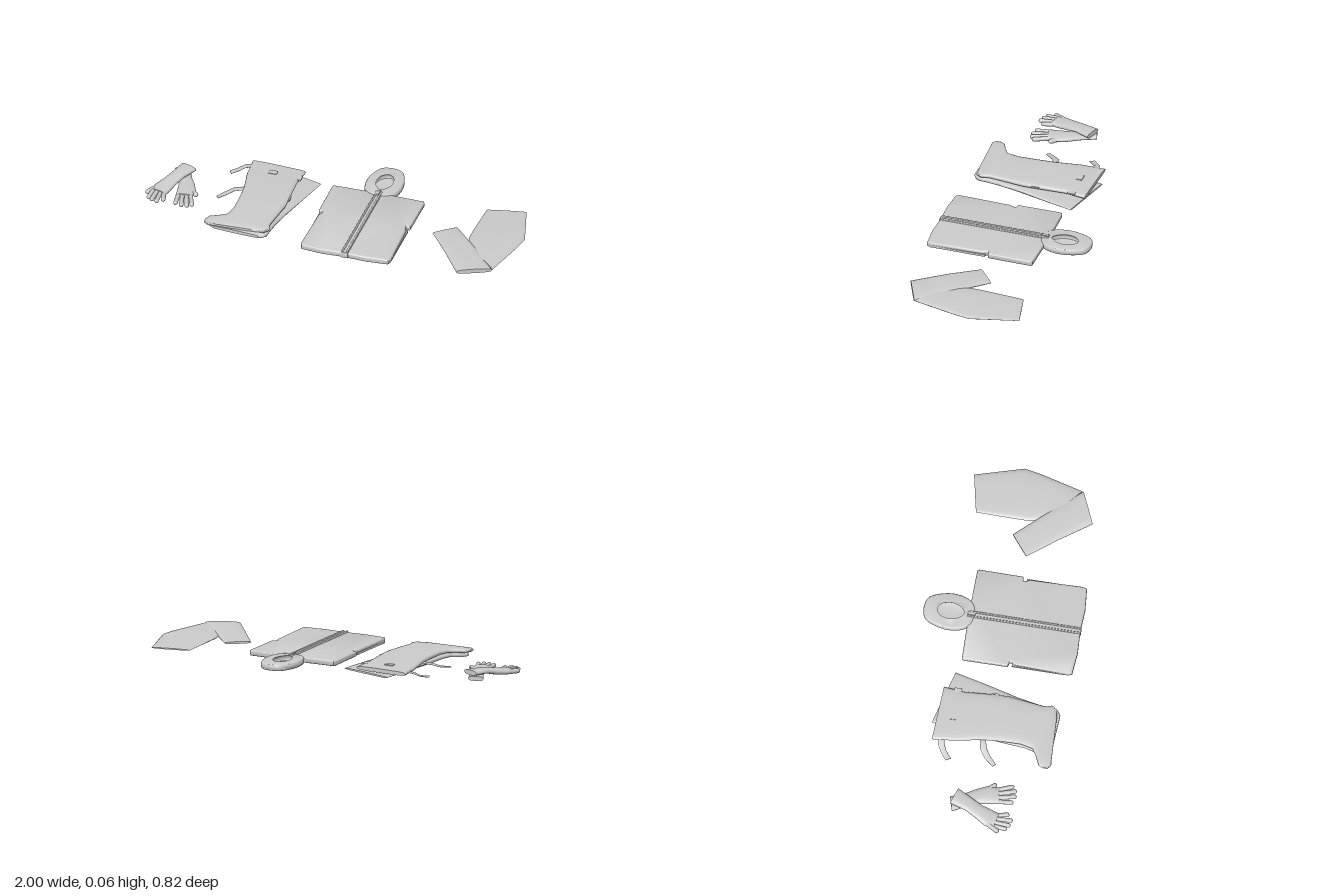
import * as THREE from 'three';
import { toCreasedNormals } from 'three/addons/utils/BufferGeometryUtils.js';

const material = new THREE.MeshStandardMaterial({ color: 0xcccccc, side: THREE.DoubleSide });

function add(parent, name, geometry) {
  const mesh = new THREE.Mesh(geometry, material);
  mesh.name = name;
  parent.add(mesh);
  return mesh;
}

function group(parent, name) {
  const g = new THREE.Group();
  g.name = name;
  parent.add(g);
  return g;
}

// Shape from an [x, z] outline
const flatShape = (outline) => new THREE.Shape(outline.map(([x, z]) => new THREE.Vector2(x, -z)));

// Flat padded piece: a shape lying between two heights
function slab(shape, y0, y1, bevel) {
  const geometry = new THREE.ExtrudeGeometry(shape, {
    depth: y1 - y0 - 2 * bevel, bevelThickness: bevel, bevelSize: bevel,
    bevelOffset: -bevel, bevelSegments: 4,
  });
  geometry.rotateX(-Math.PI / 2).translate(0, y0 + bevel, 0);
  return toCreasedNormals(geometry, 0.7);
}

// Soft flattened tube through sections [leftX, leftZ, rightX, rightZ, y0, y1];
// power 1 gives elliptical sections, smaller values boxier ones
function loft(sections, power = 0.5, n = 20) {
  const pos = [], idx = [];
  const soft = (v) => Math.sign(v) * Math.pow(Math.abs(v), power);
  for (const [lx, lz, rx, rz, y0, y1] of sections) {
    for (let j = 0; j < n; j++) {
      const t = (j / n) * Math.PI * 2;
      const u = (1 + soft(Math.cos(t))) / 2;
      pos.push(lx + (rx - lx) * u, (y0 + y1) / 2 + ((y1 - y0) / 2) * soft(Math.sin(t)), lz + (rz - lz) * u);
    }
  }
  const last = sections.length - 1;
  for (let i = 0; i < last; i++) {
    for (let j = 0; j < n; j++) {
      const a = i * n + j, b = i * n + ((j + 1) % n);
      idx.push(a, b, a + n, b, b + n, a + n);
    }
  }
  for (const i of [0, last]) {
    const [lx, lz, rx, rz, y0, y1] = sections[i];
    const c = pos.length / 3;
    pos.push((lx + rx) / 2, (y0 + y1) / 2, (lz + rz) / 2);
    for (let j = 0; j < n; j++) {
      const a = i * n + j, b = i * n + ((j + 1) % n);
      if (i === 0) idx.push(c, b, a); else idx.push(c, a, b);
    }
  }
  const geometry = new THREE.BufferGeometry();
  geometry.setAttribute('position', new THREE.Float32BufferAttribute(pos, 3));
  geometry.setIndex(idx);
  return toCreasedNormals(geometry, 1.0);
}

// Rounded finger between two points
function finger(parent, name, from, to, radius) {
  const a = new THREE.Vector3(...from), b = new THREE.Vector3(...to);
  const dir = b.clone().sub(a);
  const mesh = add(parent, name, new THREE.CapsuleGeometry(radius, dir.length(), 5, 10));
  mesh.position.copy(a).addScaledVector(dir, 0.5);
  mesh.quaternion.setFromUnitVectors(new THREE.Vector3(0, 1, 0), dir.normalize());
}

function jacket(root) {
  const g = group(root, 'jacket');
  const cx = 0.16;
  const half = [[0.02, 0.405], [0.12, 0.41], [0.235, 0.4], [0.243, 0.38], [0.236, 0.1], [0.226, 0.085],
    [0.226, 0.07], [0.248, 0.066], [0.25, -0.165], [0.245, -0.175], [0.09, -0.178]];
  const outline = [...half, ...half.map(([x, z]) => [-x, z]).reverse()].map(([x, z]) => [cx + x, z]);
  add(g, 'jacketBody', slab(flatShape(outline), 0.007, 0.038, 0.008));
  for (const s of [-1, 1]) {
    // lower layer peeking out under the side seam
    const side = add(g, 'sideSeam', new THREE.BoxGeometry(0.02, 0.012, 0.28));
    side.position.set(cx + s * 0.233, 0.017, 0.225);
  }

  // zip strip with raised edges
  const strip = flatShape([[0.143, -0.19], [0.179, -0.19], [0.179, 0.408], [0.143, 0.408]]);
  add(g, 'zipStrip', slab(strip, 0.007, 0.042, 0.004));
  for (const s of [-1, 1]) {
    const piping = add(g, 'zipPiping', new THREE.CapsuleGeometry(0.005, 0.58, 4, 8));
    piping.rotation.x = Math.PI / 2;
    piping.position.set(cx + s * 0.012, 0.042, 0.11);
  }
  const pull = add(g, 'zipPull', new THREE.BoxGeometry(0.014, 0.012, 0.04));
  pull.position.set(cx, 0.044, -0.165);

  // hood with teardrop face opening
  const loop = (pts) => new THREE.CatmullRomCurve3(
    pts.map(([x, z]) => new THREE.Vector3(cx + x, -z, 0)), true).getPoints(48).slice(0, -1)
    .map((p) => new THREE.Vector2(p.x, p.y));
  const hood = new THREE.Shape(loop([[0, -0.415], [0.055, -0.4], [0.087, -0.34], [0.098, -0.26], [0.08, -0.19],
    [0.045, -0.155], [-0.045, -0.155], [-0.08, -0.19], [-0.098, -0.26], [-0.087, -0.34], [-0.055, -0.4]]));
  const opening = loop([[0, -0.355], [0.04, -0.33], [0.055, -0.27], [0.035, -0.215], [0, -0.19],
    [-0.035, -0.215], [-0.055, -0.27], [-0.04, -0.33]]);
  hood.holes.push(new THREE.Path(opening));
  add(g, 'hood', slab(hood, 0.007, 0.042, 0.011));
  const lining = add(g, 'hoodLining', new THREE.SphereGeometry(1, 28, 8, 0, Math.PI * 2, Math.PI / 2, Math.PI / 2));
  lining.scale.set(0.07, 0.014, 0.1);
  lining.position.set(cx, 0.022, -0.275);
}

function boots(root) {
  const g = group(root, 'boots');
  add(g, 'lowerBoot', loft([
    [-0.45, -0.272, -0.16, -0.195, 0.007, 0.016], [-0.48, -0.1, -0.2, -0.03, 0.007, 0.025],
    [-0.505, 0.1, -0.245, 0.14, 0.006, 0.032], [-0.515, 0.22, -0.265, 0.24, 0.006, 0.035],
    [-0.53, 0.28, -0.275, 0.31, 0.005, 0.035], [-0.59, 0.315, -0.275, 0.345, 0.005, 0.035],
    [-0.6, 0.34, -0.29, 0.365, 0.006, 0.033], [-0.57, 0.36, -0.31, 0.377, 0.01, 0.028]]));
  add(g, 'upperBoot', loft([
    [-0.55, -0.255, -0.255, -0.24, 0.026, 0.047], [-0.54, -0.13, -0.268, -0.13, 0.028, 0.055],
    [-0.515, 0.0, -0.26, 0.0, 0.03, 0.06], [-0.508, 0.1, -0.257, 0.1, 0.031, 0.061],
    [-0.506, 0.2, -0.27, 0.2, 0.031, 0.06], [-0.52, 0.265, -0.28, 0.28, 0.031, 0.058],
    [-0.56, 0.29, -0.278, 0.305, 0.031, 0.057], [-0.605, 0.31, -0.27, 0.325, 0.031, 0.056],
    [-0.617, 0.335, -0.275, 0.34, 0.031, 0.055], [-0.6, 0.36, -0.3, 0.355, 0.033, 0.053],
    [-0.575, 0.373, -0.33, 0.362, 0.036, 0.049]]));
  // sole edge along the foot
  const sole = flatShape([[-0.615, 0.335], [-0.55, 0.35], [-0.4, 0.345], [-0.28, 0.335], [-0.29, 0.358],
    [-0.4, 0.36], [-0.55, 0.372], [-0.595, 0.376], [-0.615, 0.36]]);
  add(g, 'sole', slab(sole, 0.036, 0.05, 0.004));

  // loose straps
  const straps = [
    [[-0.53, -0.225, -0.53, -0.195, 0.04, 0.044], [-0.575, -0.218, -0.565, -0.187, 0.034, 0.038],
      [-0.61, -0.198, -0.595, -0.172, 0.018, 0.022], [-0.645, -0.168, -0.63, -0.142, 0.012, 0.016]],
    [[-0.51, -0.012, -0.51, 0.02, 0.04, 0.044], [-0.565, 0.0, -0.555, 0.033, 0.033, 0.037],
      [-0.605, 0.03, -0.59, 0.058, 0.018, 0.022], [-0.64, 0.075, -0.625, 0.092, 0.012, 0.016]],
  ];
  for (const strap of straps) add(g, 'strap', loft(strap, 0.4, 12));
  // buckles and side tabs
  for (const [x, y, z, w, d] of [[-0.41, 0.053, -0.165, 0.045, 0.03], [-0.27, 0.046, -0.165, 0.03, 0.04],
    [-0.26, 0.046, 0.03, 0.014, 0.04]]) {
    add(g, 'buckle', new THREE.BoxGeometry(w, 0.007, d)).position.set(x, y, z);
  }
}

function trousers(root) {
  const g = group(root, 'foldedTrousers');
  add(g, 'rearLeg', loft([
    [0.725, -0.235, 0.928, -0.278, 0.007, 0.014], [0.72, -0.03, 1.0, -0.025, 0.006, 0.028],
    [0.72, 0.05, 0.985, 0.06, 0.006, 0.03], [0.75, 0.14, 0.925, 0.29, 0.006, 0.028]], 0.75));
  add(g, 'frontLeg', loft([
    [0.527, 0.06, 0.635, -0.028, 0.008, 0.02], [0.64, 0.21, 0.775, 0.125, 0.007, 0.034],
    [0.755, 0.37, 0.925, 0.295, 0.006, 0.03]], 0.65));
}

function glove(root, name, sections, fingers, thumb) {
  const g = group(root, name);
  add(g, 'cuffAndPalm', loft(sections, 0.75));
  fingers.forEach(([from, to]) => finger(g, 'finger', from, to, 0.0115));
  finger(g, 'thumb', thumb[0], thumb[1], 0.013);
}

function gloves(root) {
  glove(root, 'rightGlove', [
    [-0.918, -0.09, -0.84, -0.112, 0.008, 0.032], [-0.875, -0.01, -0.805, -0.03, 0.007, 0.034],
    [-0.855, 0.04, -0.775, 0.02, 0.006, 0.035], [-0.845, 0.1, -0.75, 0.075, 0.006, 0.035],
    [-0.84, 0.145, -0.755, 0.13, 0.008, 0.034]],
  [[-0.82, 0.205], [-0.786, 0.215], [-0.757, 0.212], [-0.735, 0.195]].map(
    ([x, z], i) => [[-0.828 + i * 0.021, 0.02, 0.13 - i * 0.003], [x, 0.018, z]]),
  [[-0.785, 0.02, 0.06], [-0.742, 0.02, 0.105]]);
  glove(root, 'leftGlove', [
    [-0.885, -0.105, -0.798, -0.075, 0.033, 0.06], [-0.91, -0.02, -0.84, 0.005, 0.03, 0.058],
    [-0.94, 0.04, -0.865, 0.06, 0.014, 0.047], [-0.97, 0.09, -0.88, 0.12, 0.007, 0.037],
    [-0.972, 0.135, -0.892, 0.155, 0.008, 0.034]],
  [[-0.89, 0.195], [-0.918, 0.218], [-0.946, 0.21], [-0.968, 0.195]].map(
    ([x, z], i) => [[-0.902 - i * 0.02, 0.02, 0.14 - i * 0.005], [x, 0.018, z]]),
  [[-0.95, 0.022, 0.09], [-0.986, 0.02, 0.155]]);
}

export function createModel() {
  const root = new THREE.Group();
  root.name = 'protectiveClothingSet';
  [jacket, boots, trousers, gloves].forEach((build) => build(root));
  return root;
}
